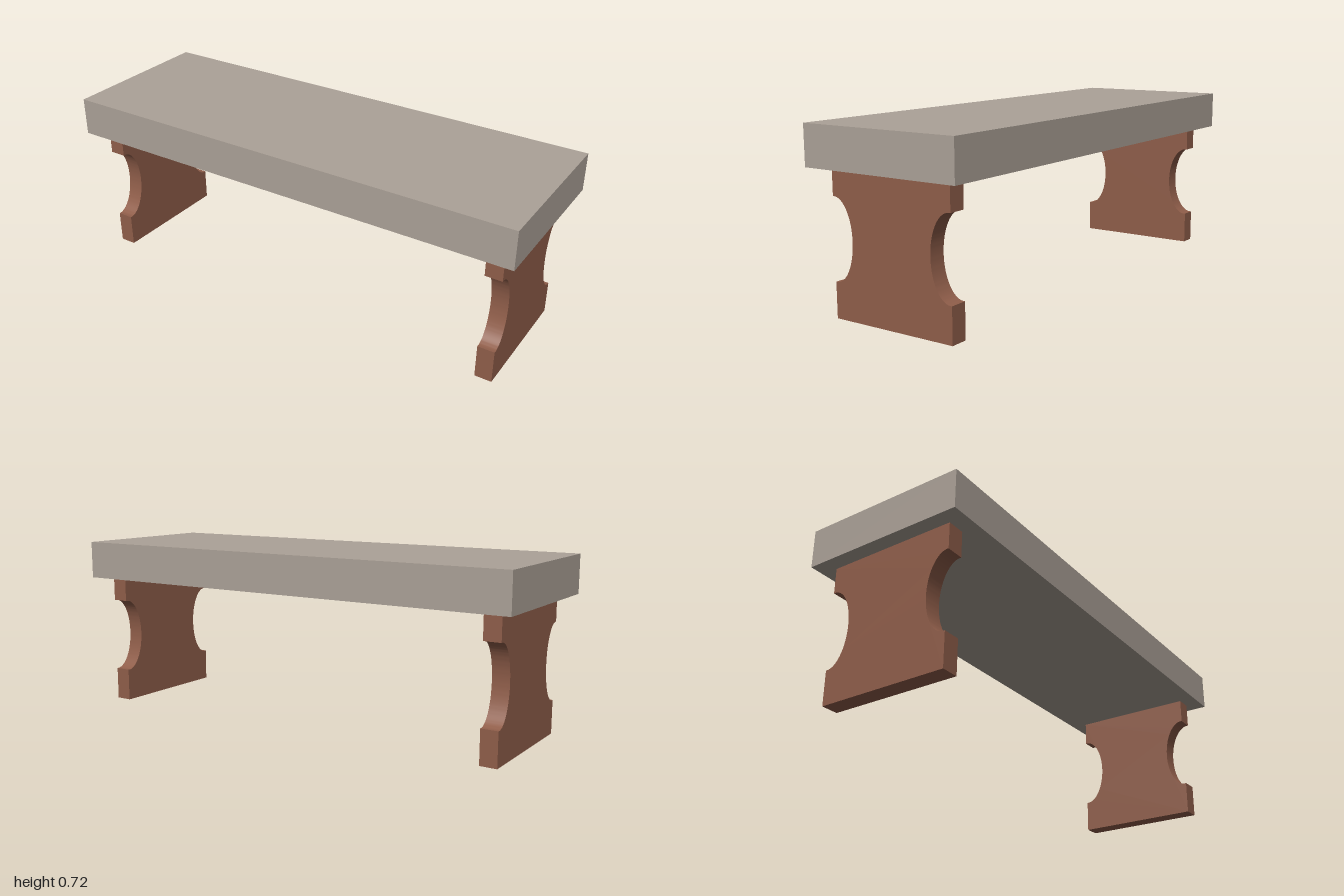
import * as THREE from 'three';
import { toCreasedNormals } from 'three/addons/utils/BufferGeometryUtils.js';

const seatGrey = new THREE.MeshStandardMaterial({ name: 'warm grey', color: 0xaca298 });
const legBrown = new THREE.MeshStandardMaterial({ name: 'red brown', color: 0x905e4a });

const LEG_HEIGHT = 0.563;
const LEG_HALF = 0.27;
const LEG_THICK = 0.07;

// Slab leg with an elliptical scoop cut from each edge
function legGeometry() {
  const cz = 0.265, cy = 0.298, rz = 0.085, ry = 0.159;
  const a = Math.acos((LEG_HALF - cz) / rz);
  const s = new THREE.Shape();
  s.moveTo(-LEG_HALF, 0);
  s.lineTo(LEG_HALF, 0);
  s.absellipse(cz, cy, rz, ry, -a, a, true);
  s.lineTo(LEG_HALF, LEG_HEIGHT);
  s.lineTo(-LEG_HALF, LEG_HEIGHT);
  s.absellipse(-cz, cy, rz, ry, Math.PI - a, Math.PI + a, true);
  s.closePath();
  const g = new THREE.ExtrudeGeometry(s, { depth: LEG_THICK, bevelEnabled: false, curveSegments: 32 });
  g.translate(0, 0, -LEG_THICK / 2);
  g.rotateY(Math.PI / 2);
  return toCreasedNormals(g, 0.5);
}

export function createModel() {
  const bench = new THREE.Group();
  bench.name = 'bench';

  // Thick seat slab
  const seat = new THREE.Mesh(new THREE.BoxGeometry(2, 0.159, 0.68), seatGrey);
  seat.name = 'seat';
  seat.position.y = LEG_HEIGHT + 0.0795;
  bench.add(seat);

  // One leg near each end
  const geometry = legGeometry();
  for (const [name, side] of [['leftLeg', 1], ['rightLeg', -1]]) {
    const leg = new THREE.Mesh(geometry, legBrown);
    leg.name = name;
    leg.position.x = side * 0.904;
    bench.add(leg);
  }
  return bench;
}
